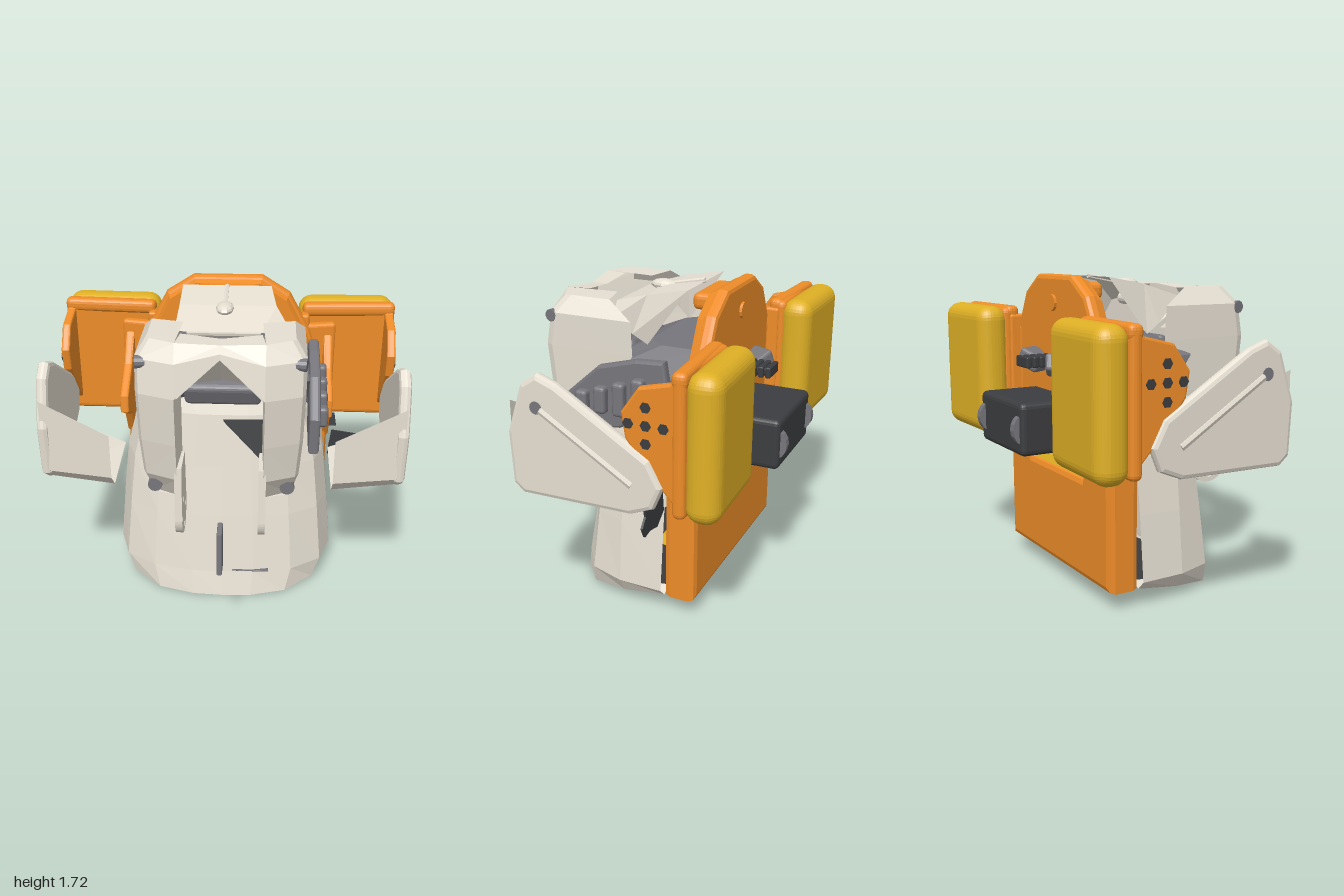
import * as THREE from 'three';
import { RoundedBoxGeometry } from 'three/addons/geometries/RoundedBoxGeometry.js';

const mat = (color) => new THREE.MeshStandardMaterial({ color, flatShading: true, side: THREE.DoubleSide });
const CREAM = mat(0xe6dfd2), ORANGE = mat(0xee8c28), YELLOW = mat(0xdfb025);
const DARK = mat(0x3c3d40), GREY = mat(0x76767c);

function add(parent, name, geometry, material, x = 0, y = 0, z = 0) {
  const m = new THREE.Mesh(geometry, material);
  m.name = name;
  m.position.set(x, y, z);
  parent.add(m);
  return m;
}

const box = (p, name, m, x0, x1, y0, y1, z0, z1, r = 0.012) =>
  add(p, name, new RoundedBoxGeometry(x1 - x0, y1 - y0, z1 - z0, 2, r), m,
    (x0 + x1) / 2, (y0 + y1) / 2, (z0 + z1) / 2);

// Skin a list of rings, each a list of [x, y, z]; optionally close and cap them
function loft(rings, closed = false) {
  const pos = [], n = rings[0].length;
  const tri = (a, b, c) => pos.push(...a, ...b, ...c);
  for (let i = 0; i < rings.length - 1; i++)
    for (let j = 0; j < (closed ? n : n - 1); j++) {
      const k = (j + 1) % n, A = rings[i], B = rings[i + 1];
      tri(A[j], A[k], B[k]);
      tri(A[j], B[k], B[j]);
    }
  if (closed) for (let j = 1; j < n - 1; j++) {
    const A = rings[0], B = rings[rings.length - 1];
    tri(A[0], A[j + 1], A[j]);
    tri(B[0], B[j], B[j + 1]);
  }
  const g = new THREE.BufferGeometry();
  g.setAttribute('position', new THREE.Float32BufferAttribute(pos, 3));
  g.computeVertexNormals();
  return g;
}

const shapeOf = (pts) => new THREE.Shape(pts.map(([a, b]) => new THREE.Vector2(a, b)));
const extrude = (shape, depth, bevel = 0) => new THREE.ExtrudeGeometry(shape, {
  depth: depth - 2 * bevel, bevelEnabled: bevel > 0, bevelThickness: bevel, bevelSize: bevel,
  bevelOffset: -bevel, bevelSegments: 2, curveSegments: 12 }).translate(0, 0, bevel);
// Side profile in (z, y), spanning x0..x1
const sidePlate = (shape, x0, x1, bevel = 0) =>
  extrude(shape, x1 - x0, bevel).rotateY(-Math.PI / 2).translate(x1, 0, 0);

function rod(p, name, m, a, b, r, seg = 12) {
  const A = new THREE.Vector3(...a), B = new THREE.Vector3(...b), d = B.clone().sub(A);
  const c = A.clone().add(B).multiplyScalar(0.5);
  const o = add(p, name, new THREE.CylinderGeometry(r, r, d.length(), seg), m, c.x, c.y, c.z);
  o.quaternion.setFromUnitVectors(new THREE.Vector3(0, 1, 0), d.normalize());
  return o;
}

// Parts found on both sides, made on the +x side
function sideParts() {
  const g = new THREE.Group();

  // Shoulder: padded back and open orange tray
  const pad = add(g, 'shoulderPad', new RoundedBoxGeometry(0.57, 0.75, 0.18, 4, 0.08), YELLOW, 0.705, 1.155, -0.645);
  pad.rotation.y = 0.035;
  box(g, 'shoulderBack', ORANGE, 0.44, 0.99, 0.8, 1.52, -0.58, -0.51, 0.03);
  const lip = box(g, 'shoulderTop', ORANGE, 0.44, 0.99, 1.45, 1.53, -0.57, -0.49, 0.03);
  lip.rotation.y = 0.06;
  box(g, 'shoulderInner', ORANGE, 0.43, 0.48, 1.0, 1.48, -0.54, -0.43, 0.015);
  const link = box(g, 'shoulderLink', ORANGE, 0.42, 0.64, 0.95, 1.42, -0.5, -0.44, 0.02);
  link.rotation.y = 0.2;
  add(g, 'shoulderSide', sidePlate(shapeOf([[-0.57, 0.82], [-0.4, 1.0], [-0.27, 1.17], [-0.25, 1.3],
    [-0.34, 1.43], [-0.5, 1.47], [-0.57, 1.52]]), 0.93, 0.98, 0.012), ORANGE);
  for (const [z, y] of [[0, 0], [0.09, 0], [-0.09, 0], [0, 0.09], [0, -0.09]])
    rod(g, 'shoulderBolt', DARK, [0.94, 1.25 + y, -0.38 + z], [0.984, 1.25 + y, -0.38 + z], 0.028, 6);

  // Forearm: outer wall with a shell folding inwards
  add(g, 'forearmWall', sidePlate(shapeOf([[0.36, 0.82], [0.375, 1.1], [0.29, 1.36], [0.2, 1.42], [0.09, 1.38],
    [-0.4, 1.08], [-0.47, 0.95], [-0.42, 0.83], [-0.3, 0.78], [0.3, 0.77]]), 0.935, 1.0, 0.025), CREAM);
  const shell = [[0.98, 0.36, 1.26, 0.36, 0.84, 0.29, 0.77, -0.34, 0.79], [0.61, 0.36, 1.06, 0.36, 0.8, 0.27, 0.71, -0.15, 0.75]];
  add(g, 'forearmShell', loft(shell.map(([x, ...q]) => [0, 2, 4, 6].map((i) => [x, q[i + 1], q[i]]))), CREAM);
  rod(g, 'forearmRib', CREAM, [0.985, 1.24, 0.18], [0.985, 0.94, -0.31], 0.025, 8);
  rod(g, 'forearmBolt', GREY, [0.94, 1.25, 0.2], [1.002, 1.25, 0.2], 0.034);

  // Bracket holding the arm to the back panel
  add(g, 'armBracket', sidePlate(shapeOf([[-0.45, 0.75], [-0.32, 0.75], [-0.24, 0.9], [-0.09, 0.98],
    [-0.1, 1.08], [-0.3, 1.2], [-0.45, 1.35]]), 0.57, 0.62, 0.012), ORANGE);

  // Mask cheek, wrapping from the side to the inner edge: [y, back, front, halfWidth]
  const rows = [[0.73, 0.3, 0.41, 0.39], [0.88, 0.2, 0.5, 0.42], [1.1, 0.1, 0.53, 0.435], [1.38, -0.04, 0.555, 0.44],
    [1.56, -0.03, 0.525, 0.44], [1.65, 0.12, 0.46, 0.38]];
  add(g, 'maskCheek', loft(rows.map(([y, b, f, w]) =>
    [[w, y, b], [w, y, f - 0.11], [w - 0.02, y, f - 0.07], [0.23, y, f], [0.22, y, Math.max(b, 0.28)]])), CREAM);
  add(g, 'cheekBase', loft([[[0.39, 0.73, 0.3], [0.39, 0.73, 0.36]], [[0.22, 0.73, 0.3], [0.23, 0.73, 0.41]]]), CREAM);
  // Brow running from the cheek to the centre line, leaving the top open behind it
  add(g, 'maskBrow', loft([
    [[0.23, 1.38, 0.555], [0.23, 1.56, 0.525], [0.23, 1.65, 0.46], [0.21, 1.65, 0.33]],
    [[0, 1.57, 0.48], [0, 1.6, 0.475], [0, 1.63, 0.43], [0, 1.63, 0.34]]]), CREAM);
  add(g, 'maskTop', loft([
    [[0.38, 1.65, 0.12], [0.38, 1.65, 0.39]], [[0.21, 1.65, 0.16], [0.23, 1.65, 0.46]]]), CREAM);
  add(g, 'browInside', loft([[[0.22, 1.38, 0.36], [0.22, 1.38, 0.55]], [[0, 1.4, 0.34], [0, 1.57, 0.48]]]), CREAM);
  rod(g, 'maskTopBolt', GREY, [0.38, 1.54, 0.44], [0.437, 1.54, 0.45], 0.034);
  rod(g, 'cheekBolt', GREY, [0.36, 0.8, 0.36], [0.36, 0.8, 0.42], 0.04);

  // Drilled plate hanging beneath the cheek
  const hang = new THREE.Shape();
  hang.moveTo(0.3, 0.95);
  hang.lineTo(0.27, 0.68);
  hang.absarc(0.4, 0.63, 0.125, Math.PI, Math.PI * 2, false);
  hang.lineTo(0.5, 0.95);
  for (const [z, y] of [[0.49, 0.63], [0.41, 0.55], [0.32, 0.63], [0.41, 0.71]])
    hang.holes.push(new THREE.Path().absarc(z, y, 0.018, 0, Math.PI * 2, true));
  add(g, 'hangingPlate', sidePlate(hang, 0.205, 0.245), CREAM);
  return g;
}

export function createModel() {
  const root = new THREE.Group();
  root.name = 'armouredTorso';
  for (const s of [1, -1]) {
    const g = sideParts();
    g.name = s > 0 ? 'leftSide' : 'rightSide';
    g.scale.x = s;
    root.add(g);
  }

  // Flared skirt, open at the back: [height, halfWidth, front]
  const half = (w, f) => [[w, -0.3], [w * 0.99, -0.05], [w * 0.89, f * 0.47], [w * 0.62, f * 0.84], [w * 0.28, f * 0.98]];
  const ring = (w, f, yAt) => {
    const h = half(w, f);
    return [...h, [0, f], ...h.map(([x, z]) => [-x, z]).reverse()].map(([x, z]) => [x, yAt(z), z]);
  };
  const hem = (z) => 0.1 - 0.095 * (z + 0.3) / 0.65;
  const rows = [[0.15, 0.65, 0.315], [0.5, 0.615, 0.255], [0.8, 0.58, 0.2], [1.1, 0.5, 0.15], [1.24, 0.42, 0.1]];
  const floor = ring(0.54, 0.22, (z) => hem(z) + 0.03);
  add(root, 'skirt', loft([floor, ring(0.6, 0.35, hem), ...rows.map(([y, w, f]) => ring(w, f, () => y))]), CREAM);
  add(root, 'skirtFloor', loft([floor, floor.map(([, , z]) => [0, hem(z) + 0.03, z])]), DARK);
  const nozzle = add(root, 'floorNozzle', new THREE.TorusGeometry(0.1, 0.045, 4, 6), YELLOW, 0, 0.095, -0.13);
  nozzle.rotation.x = Math.PI / 2;
  box(root, 'frontSlot', GREY, 0.06, 0.27, 0.16, 0.166, 0.25, 0.318, 0.002);
  add(root, 'frontMark', loft([[[0, 1.08, 0.165], [0, 1.07, 0.165]], [[0.22, 1.08, 0.155], [0.22, 0.84, 0.2]]]), DARK);

  // Back panel with a notch, and the dome above it
  add(root, 'backPanel', extrude(shapeOf([[-0.61, 0.1], [0.61, 0.1], [0.61, 0.86], [0.4, 0.86], [0.31, 0.66],
    [-0.31, 0.66], [-0.4, 0.86], [-0.61, 0.86]]), 0.18, 0.035), ORANGE, 0, 0, -0.48);
  add(root, 'notchLining', loft([[[-0.42, 0.87, -0.34], [-0.3, 0.65, -0.46]], [[0.42, 0.87, -0.34], [0.3, 0.65, -0.46]]]), YELLOW);
  const dome = [[0.58, 0.82], [0.58, 1.12], [0.48, 1.4], [0.36, 1.62], [0.2, 1.72]];
  const arch = (k, z, drop) => [...dome, ...dome.map(([x, y]) => [-x, y]).reverse()]
    .map(([x, y]) => [x * k, y - drop, z]);
  const plate = shapeOf(arch(1, 0, 0));
  plate.holes.push(new THREE.Path([[-0.3, 0.86], [-0.3, 1.05], [0.3, 1.05], [0.3, 0.86]].map((p) => new THREE.Vector2(...p))));
  add(root, 'backDome', extrude(plate, 0.08, 0.025), ORANGE, 0, 0, -0.475);
  add(root, 'domeRim', loft([arch(0.98, -0.42, 0.01), arch(0.94, -0.36, 0.03)]), ORANGE);
  box(root, 'domeLug', ORANGE, -0.18, 0.18, 1.59, 1.68, -0.42, -0.26, 0.03);
  rod(root, 'domeStud', ORANGE, [0, 1.57, -0.49], [0, 1.57, -0.45], 0.045);

  // Hood sheet between dome and mask, with a teardrop fixing
  add(root, 'hood', loft([
    [[-0.28, 1.4, -0.05], [-0.25, 1.71, -0.27], [0.25, 1.71, -0.27], [0.28, 1.4, -0.05]],
    [[-0.29, 1.46, 0.02], [-0.25, 1.67, -0.05], [0.28, 1.67, -0.05], [0.32, 1.46, 0.02]],
    [[-0.3, 1.54, 0.12], [-0.26, 1.6, 0.17], [0.2, 1.6, 0.17], [0.38, 1.55, 0.11]]]), CREAM);
  const stud = add(root, 'hoodStud', new THREE.SphereGeometry(0.05, 10, 8), CREAM, 0, 1.665, -0.02);
  stud.scale.set(1, 0.6, 1.6);
  rod(root, 'hoodSpine', CREAM, [0, 1.71, -0.26], [0, 1.67, -0.06], 0.014, 6);
  rod(root, 'neckTube', CREAM, [-0.2, 1.57, 0.08], [0.2, 1.57, 0.08], 0.035, 14);

  // Machinery inside the torso
  const core = [[0.8, 0.4, -0.32, 0.08], [1.15, 0.5, -0.4, 0.08], [1.3, 0.48, -0.42, 0.2], [1.42, 0.32, -0.38, -0.05]];
  add(root, 'innerCore', loft(core.map(([y, w, b, f]) => [[w, y, b], [-w, y, b], [-w, y, f - 0.1],
    [-w * 0.7, y, f], [w * 0.7, y, f], [w, y, f - 0.1]]), true), GREY);
  const neck = box(root, 'neckBlock', GREY, -0.21, 0.21, 1.22, 1.36, 0.05, 0.25, 0.03);
  neck.rotation.x = 0.4;

  // Exposed mechanism at the left shoulder joint
  add(root, 'sideActuator', sidePlate(shapeOf([[0.3, 0.95], [0.31, 1.16], [0.12, 1.33], [-0.1, 1.39], [-0.26, 1.4],
    [-0.3, 1.15], [0, 1.0]]), 0.47, 0.53, 0.015), GREY);
  for (let i = 0; i < 4; i++)
    box(root, 'actuatorRib', GREY, 0.5, 0.575, 1.08, 1.3 - 0.035 * i, -0.16 + 0.11 * i, -0.09 + 0.11 * i, 0.02);

  // Backpack engine
  box(root, 'backpack', DARK, -0.27, 0.27, 0.8, 1.08, -0.8, -0.42, 0.03);
  for (const s of [-1, 1]) {
    rod(root, 'backpackWheel', GREY, [s * 0.205, 0.94, -0.74], [s * 0.245, 0.94, -0.74], 0.095, 18);
    const fin = box(root, 'rearConnector', GREY, s * 0.15 - 0.07, s * 0.15 + 0.07, 1.2, 1.3, -0.59, -0.45, 0.02);
    fin.rotation.set(0, s * 0.5, s * 0.4);
  }
  for (let i = 0; i < 5; i++)
    box(root, 'rearVent', DARK, -0.07, 0.07, 1.23, 1.29, -0.67 + 0.04 * i, -0.64 + 0.04 * i, 0.008);
  box(root, 'ventCore', DARK, -0.05, 0.05, 1.24, 1.28, -0.66, -0.45);

  // Loose plates on the left hip and under the shoulder
  add(root, 'hipPlate', extrude(shapeOf([[0.62, 0.63], [0.7, 0.57], [0.78, 0.59], [0.84, 0.58], [0.87, 0.64],
    [0.83, 0.69], [0.84, 0.76], [0.64, 0.79]]), 0.012), DARK, 0, 0, -0.306);
  box(root, 'rearStrip', DARK, 0.63, 0.68, 0.735, 0.745, -0.63, -0.46, 0.003);

  // Fin floating ahead of the chest
  add(root, 'frontFin', sidePlate(shapeOf([[0.7, 0.5], [0.83, 0.51], [0.815, 0.75], [0.72, 0.765], [0.7, 0.74]]),
    0, 0.028, 0.006), GREY);
  return root;
}
